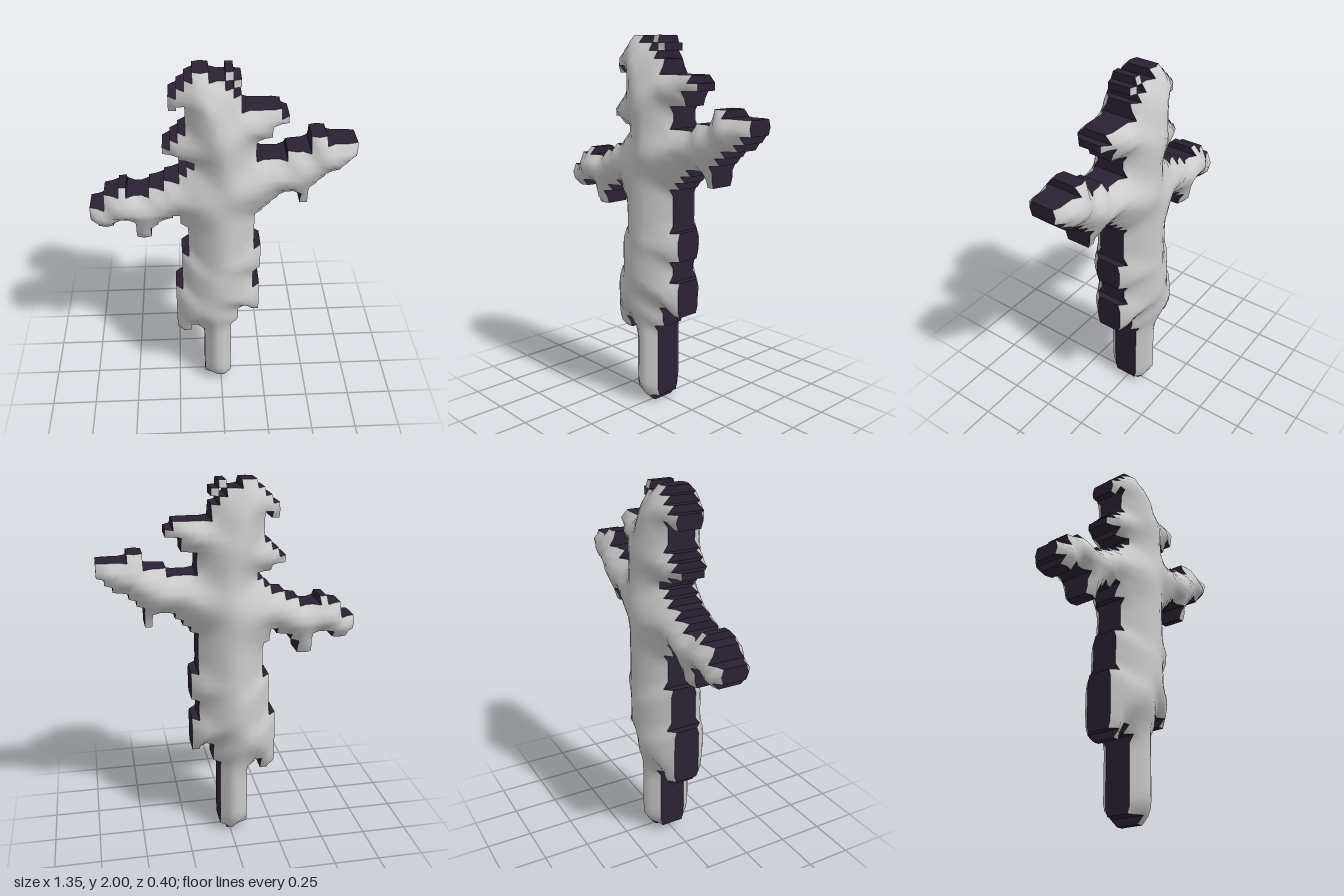
import * as THREE from 'three';

const COLS = 35, ROWS = 52, CELL = 2 / ROWS;

// Silhouette blocks per part: [first row, last row, first column, last column], rows from the top
const PARTS = {
  head: [
    [0, 0, 14, 15], [0, 0, 18, 18], [1, 1, 13, 17], [1, 1, 19, 19], [2, 2, 12, 18],
    [3, 3, 11, 19], [4, 4, 11, 11], [4, 4, 13, 19], [5, 7, 13, 19], [5, 5, 20, 24],
    [6, 6, 20, 25], [7, 8, 20, 23], [8, 8, 12, 19], [9, 9, 11, 21], [10, 10, 10, 21], [11, 11, 12, 21],
  ],
  torso: [
    [12, 12, 14, 21], [13, 13, 13, 21], [14, 21, 12, 21], [22, 26, 13, 21], [27, 32, 12, 21],
    [26, 29, 22, 22], [33, 39, 11, 19], [33, 36, 20, 21], [33, 37, 22, 22],
    [40, 40, 11, 12], [40, 40, 14, 18], [41, 41, 12, 12],
  ],
  post: [[41, 50, 15, 18], [51, 51, 17, 17]],
  leftArm: [
    [9, 9, 29, 30], [10, 10, 29, 34], [11, 11, 26, 34], [12, 12, 22, 33], [13, 13, 22, 32],
    [14, 14, 22, 30], [15, 15, 22, 29], [16, 16, 22, 28], [17, 18, 28, 28], [17, 17, 22, 24],
    [18, 18, 22, 23], [19, 19, 22, 22],
  ],
  rightArm: [
    [15, 15, 10, 11], [16, 16, 4, 4], [16, 16, 8, 11], [17, 18, 2, 11], [19, 19, 0, 11],
    [20, 20, 0, 10], [21, 21, 1, 2], [21, 21, 6, 8], [22, 23, 6, 7],
  ],
};

const vid = (r, c) => r * (COLS + 1) + c;

// Mark every cell with the part that owns it
function fillCells() {
  const cells = Array.from({ length: ROWS }, () => Array(COLS).fill(null));
  for (const [name, blocks] of Object.entries(PARTS))
    for (const [r0, r1, c0, c1] of blocks)
      for (let r = r0; r <= r1; r++)
        for (let c = c0; c <= c1; c++) cells[r][c] ??= name;
  return cells;
}

// Half thickness at distance d (in cells) from the outline
function swell(d) {
  const steps = [0.072, 0.122, 0.152, 0.175, 0.192, 0.2];
  const i = Math.min(Math.floor(d), 4);
  return THREE.MathUtils.lerp(steps[i], steps[i + 1], Math.min(d - i, 1));
}

// Half thickness of the padded shape at every grid corner
function heights(owner) {
  const h = new Float32Array((ROWS + 1) * (COLS + 1));
  const inside = [], edge = [];
  for (let r = 0; r <= ROWS; r++)
    for (let c = 0; c <= COLS; c++) {
      const n = [[r, c], [r - 1, c], [r, c - 1], [r - 1, c - 1]].filter(([a, b]) => owner(a, b)).length;
      if (n === 4) inside.push([r, c]);
      else if (n > 0) {
        edge.push([r, c]);
        h[vid(r, c)] = n === 3 ? 0.1 : n === 2 ? 0.074 : 0.062;
      }
    }
  for (const [r, c] of inside)
    h[vid(r, c)] = swell(Math.min(...edge.map(([a, b]) => Math.hypot(a - r, b - c))));
  // Soften the interior
  const old = h.slice();
  for (const [r, c] of inside) {
    const around = old[vid(r - 1, c)] + old[vid(r + 1, c)] + old[vid(r, c - 1)] + old[vid(r, c + 1)];
    h[vid(r, c)] = 0.6 * old[vid(r, c)] + 0.1 * around;
  }
  return h;
}

export function createModel() {
  const group = new THREE.Group();
  const cells = fillCells();
  const owner = (r, c) => cells[r]?.[c] ?? null;
  const h = heights(owner);
  const point = (r, c, side) => [(c - COLS / 2) * CELL, (ROWS - r) * CELL, side * h[vid(r, c)]];

  const grey = new THREE.MeshStandardMaterial({ color: 0xcccccc });
  const dark = new THREE.MeshStandardMaterial({ color: 0x2b2232 });

  // Shared corner points: front sheet, then back sheet
  const positions = [];
  for (const side of [1, -1])
    for (let r = 0; r <= ROWS; r++)
      for (let c = 0; c <= COLS; c++) positions.push(...point(r, c, side));
  const back = (ROWS + 1) * (COLS + 1);

  const skins = {}, rims = {};
  for (const name of Object.keys(PARTS)) { skins[name] = []; rims[name] = []; }

  for (let r = 0; r < ROWS; r++)
    for (let c = 0; c < COLS; c++) {
      const name = owner(r, c);
      if (!name) continue;
      const tl = [r, c], tr = [r, c + 1], bl = [r + 1, c], br = [r + 1, c + 1];
      const [a, b, d, e] = [tl, bl, br, tr].map((p) => vid(...p));
      skins[name].push(a, b, d, a, d, e);
      skins[name].push(back + a, back + d, back + b, back + a, back + e, back + d);
      // Side walls wherever the neighbour is empty, going counterclockwise
      const walls = [[r - 1, c, tr, tl], [r + 1, c, bl, br], [r, c - 1, tl, bl], [r, c + 1, br, tr]];
      for (const [nr, nc, p, q] of walls) {
        if (owner(nr, nc)) continue;
        const pf = point(...p, 1), qf = point(...q, 1), pb = point(...p, -1), qb = point(...q, -1);
        rims[name].push(...pf, ...pb, ...qb, ...pf, ...qb, ...qf);
      }
    }

  // Smooth normals over the whole padded surface, so parts join without seams
  const skin = new THREE.BufferGeometry();
  skin.setAttribute('position', new THREE.Float32BufferAttribute(positions, 3));
  skin.setIndex(Object.values(skins).flat());
  skin.computeVertexNormals();

  for (const name of Object.keys(PARTS)) {
    const part = new THREE.Group();
    part.name = name;

    skin.setIndex(skins[name]);
    const padding = new THREE.Mesh(skin.toNonIndexed(), grey);
    padding.name = name + 'Padding';

    const rimGeometry = new THREE.BufferGeometry();
    rimGeometry.setAttribute('position', new THREE.Float32BufferAttribute(rims[name], 3));
    rimGeometry.computeVertexNormals();
    const rim = new THREE.Mesh(rimGeometry, dark);
    rim.name = name + 'Rim';

    part.add(padding, rim);
    group.add(part);
  }
  return group;
}
